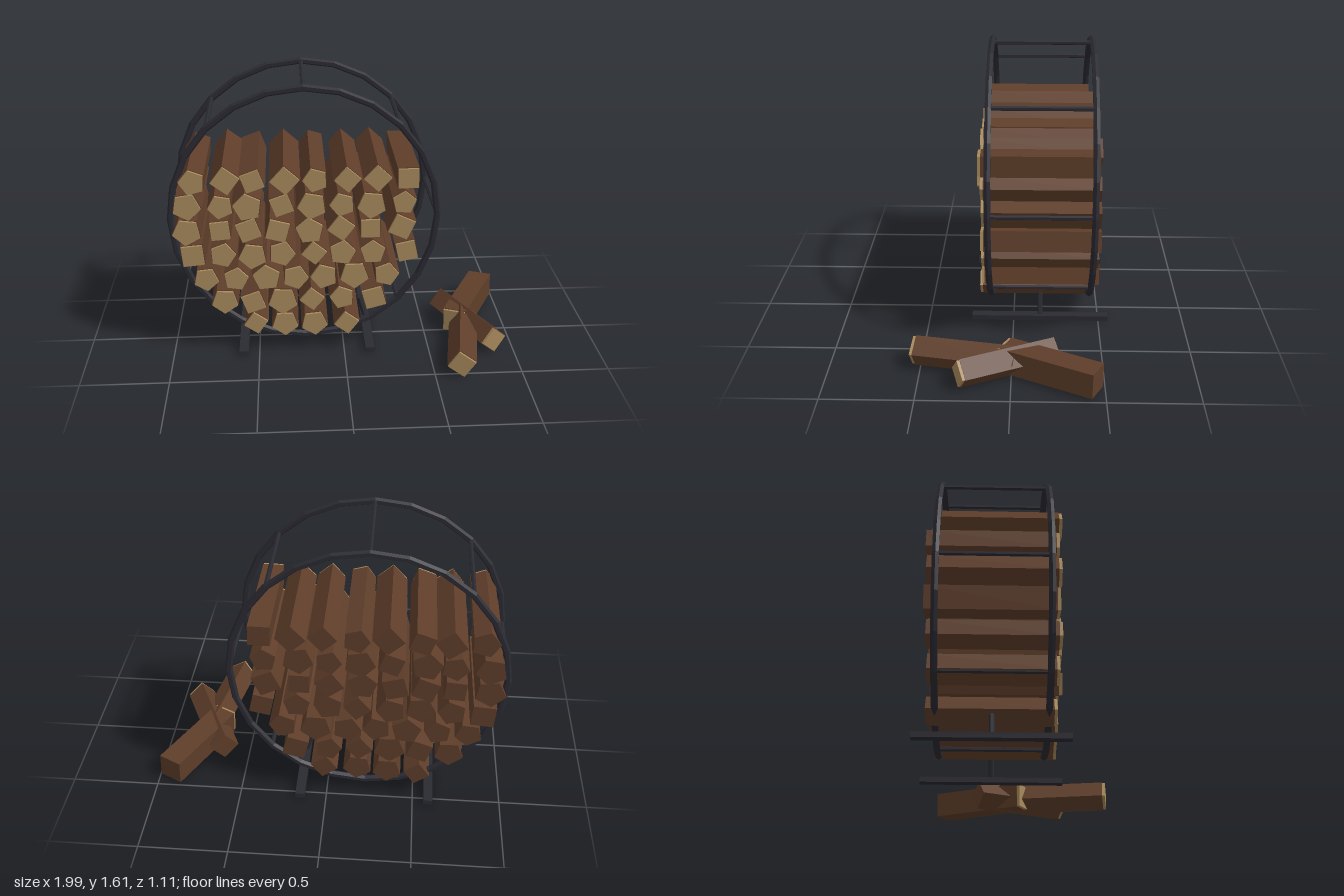
import * as THREE from 'three';

const mat = (name, color) => {
  const m = new THREE.MeshStandardMaterial({ color, flatShading: true });
  m.name = name;
  return m;
};
const rad = THREE.MathUtils.degToRad;

export function createModel() {
  const model = new THREE.Group();
  model.name = 'firewoodRack';
  const iron = mat('black iron', 0x2a2a32);
  const bark = mat('brown bark', 0x5f3e2a);
  const wood = mat('cut wood', 0xa98a5c);

  const CX = -0.22, CY = 0.84, CZ = -0.155, R = 0.755, HALF = 0.288;

  const add = (parent, name, geometry, material, x = 0, y = 0, z = 0) => {
    const mesh = new THREE.Mesh(geometry, material);
    mesh.name = name;
    mesh.position.set(x, y, z);
    parent.add(mesh);
    return mesh;
  };

  // Two hoops joined by eight cross bars
  const rack = new THREE.Group();
  rack.name = 'rack';
  model.add(rack);
  for (const s of [1, -1]) {
    add(rack, s > 0 ? 'frontHoop' : 'backHoop', new THREE.TorusGeometry(R, 0.02, 6, 24), iron, CX, CY, CZ + s * HALF);
  }
  for (let i = 0; i < 8; i++) {
    const a = (i * Math.PI) / 4;
    const bar = new THREE.CylinderGeometry(0.013, 0.013, HALF * 2, 6).rotateX(Math.PI / 2);
    add(rack, 'crossBar', bar, iron, CX + R * Math.cos(a), CY + R * Math.sin(a), CZ);
  }

  // Splayed legs on long feet
  for (const s of [1, -1]) {
    const foot = new THREE.Vector3(CX + s * 0.37, 0.025, CZ);
    const top = new THREE.Vector3(CX + s * 0.333, 0.165, CZ);
    add(rack, 'foot', new THREE.BoxGeometry(0.054, 0.03, 0.8), iron, ...foot);
    const dir = top.clone().sub(foot);
    const leg = add(rack, 'leg', new THREE.CylinderGeometry(0.015, 0.015, dir.length(), 6), iron,
      ...foot.clone().add(top).multiplyScalar(0.5));
    leg.quaternion.setFromUnitVectors(new THREE.Vector3(0, 1, 0), dir.normalize());
  }

  // A prism along z with its first corner at the given angle
  const prism = (sides, r, length, turn) =>
    new THREE.CylinderGeometry(r, r, length, sides).rotateX(Math.PI / 2).rotateZ(rad(turn + 90));

  // Split log: bark body with a pale cut face at the front
  const makeLog = (name, sides, r, length, turn) => {
    const log = new THREE.Group();
    log.name = name;
    add(log, 'bark', prism(sides, r, length, turn), bark);
    add(log, 'cutFace', prism(sides, r * 0.94, 0.016, turn), wood, 0, 0, length / 2 + 0.008);
    return log;
  };

  let seed = 7;
  const random = () => (seed = (seed * 16807) % 2147483647) / 2147483647;

  // Stacked rows; each log is [x, sides, radius, turn in degrees]
  const stack = new THREE.Group();
  stack.name = 'logStack';
  model.add(stack);
  const row = (y, logs) => {
    for (const [x, sides, r, turn] of logs) {
      const log = makeLog('log', sides, r, 0.635 + random() * 0.025, turn);
      log.position.set(x, y, CZ + (random() - 0.5) * 0.03);
      stack.add(log);
    }
  };
  row(1.08, [
    [-0.84, 5, 0.08, 105], [-0.66, 4, 0.088, 8], [-0.51, 4, 0.08, 65], [-0.33, 4, 0.088, 3],
    [-0.16, 5, 0.076, 110], [0.02, 4, 0.08, 4], [0.19, 4, 0.083, 2], [0.36, 4, 0.085, 46],
  ]);
  row(0.93, [
    [-0.88, 5, 0.087, 62], [-0.69, 5, 0.077, 115], [-0.54, 5, 0.088, 100], [-0.35, 4, 0.08, 65],
    [-0.18, 5, 0.088, 115], [-0.01, 5, 0.076, 110], [0.155, 5, 0.088, 120], [0.34, 5, 0.074, 85],
  ]);
  row(0.78, [
    [-0.885, 5, 0.087, 47], [-0.7, 4, 0.08, 50], [-0.54, 4, 0.086, 65], [-0.375, 4, 0.086, 30],
    [-0.195, 5, 0.085, 95], [-0.015, 4, 0.084, 8], [0.15, 4, 0.08, 46], [0.33, 4, 0.088, 20],
  ]);
  row(0.63, [
    [-0.86, 4, 0.09, 50], [-0.69, 5, 0.08, 75], [-0.52, 5, 0.086, 118], [-0.355, 5, 0.082, 70],
    [-0.17, 4, 0.077, 5], [-0.01, 5, 0.082, 80], [0.165, 5, 0.078, 90], [0.36, 4, 0.083, 57],
  ]);
  row(0.485, [
    [-0.79, 5, 0.077, 60], [-0.62, 5, 0.077, 80], [-0.445, 5, 0.086, 95], [-0.28, 5, 0.08, 68],
    [-0.115, 5, 0.083, 110], [0.06, 5, 0.09, 55], [0.245, 5, 0.078, 75],
  ]);
  row(0.335, [
    [-0.69, 5, 0.083, 52], [-0.525, 4, 0.083, 65], [-0.355, 5, 0.091, 52], [-0.185, 4, 0.077, 5],
    [-0.01, 5, 0.077, 105], [0.175, 4, 0.088, 60],
  ]);
  row(0.185, [
    [-0.515, 4, 0.075, 10], [-0.345, 5, 0.083, 55], [-0.175, 5, 0.083, 60], [0.015, 4, 0.077, 8],
  ]);

  // Loose logs crossed on the ground: back x, back z, front x, front z, radius, turn
  for (const [bx, bz, fx, fz, r, turn] of [
    [0.93, -0.465, 0.68, 0.04, 0.1, 47],
    [0.635, -0.24, 0.875, 0.275, 0.084, 4],
    [0.745, -0.03, 0.645, 0.535, 0.085, 12],
  ]) {
    const log = makeLog('looseLog', 4, r, Math.hypot(fx - bx, fz - bz) - 0.016, turn);
    log.position.set((bx + fx) / 2, 0.088, (bz + fz) / 2);
    log.rotation.y = Math.atan2(fx - bx, fz - bz);
    model.add(log);
  }
  return model;
}
